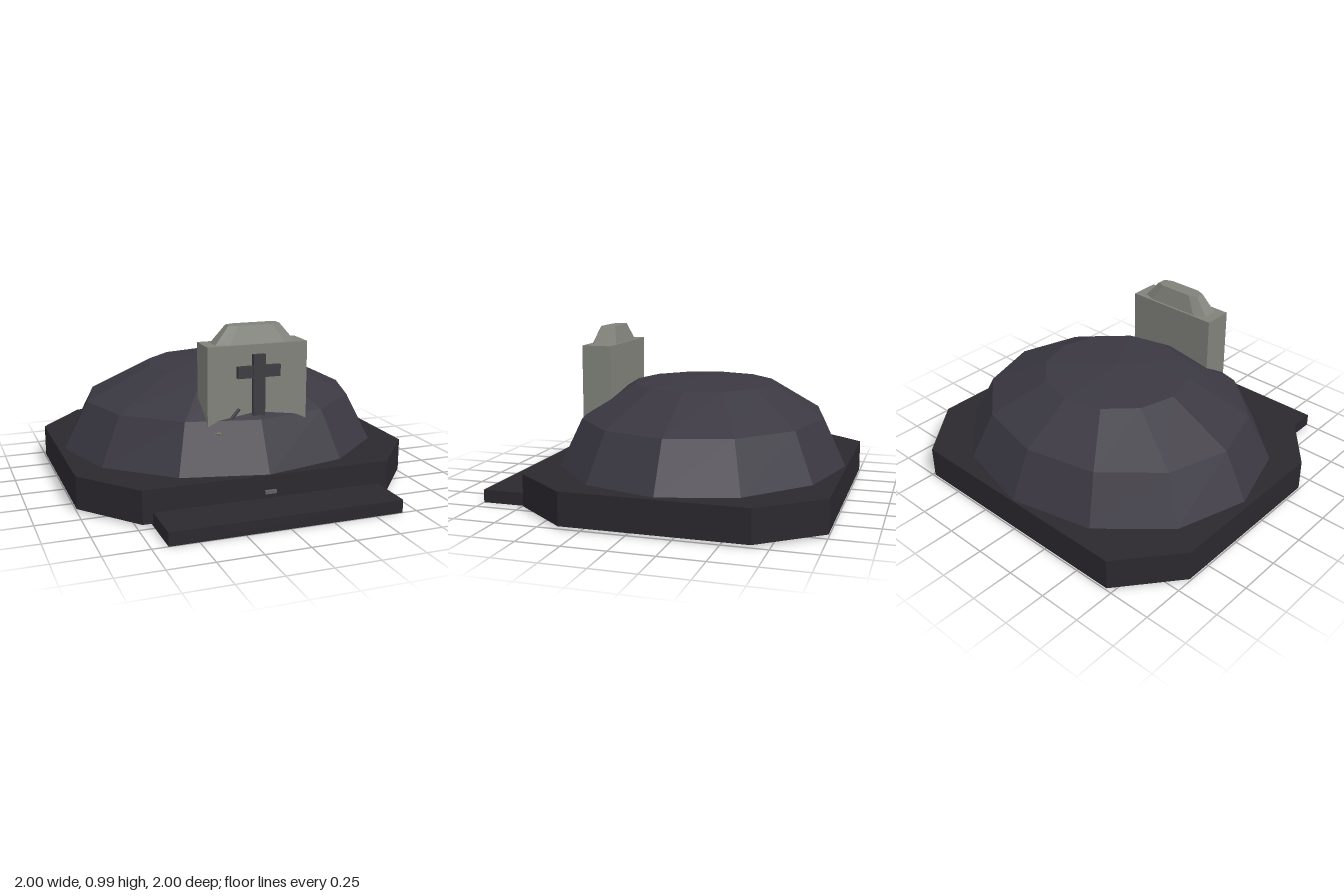
import * as THREE from 'three';

const mat = (color) => new THREE.MeshStandardMaterial({ color, flatShading: true });

// Stack of horizontal rings (arrays of [x, y, z]) skinned into one closed solid
function loft(rings) {
  const n = rings[0].length;
  const pos = rings.flat(2);
  const idx = [];
  for (let r = 0; r < rings.length - 1; r++) {
    for (let i = 0; i < n; i++) {
      const a = r * n + i, b = r * n + (i + 1) % n;
      idx.push(a, a + n, b, b, a + n, b + n);
    }
  }
  const top = (rings.length - 1) * n;
  for (let i = 1; i < n - 1; i++) {
    idx.push(0, i, i + 1);
    idx.push(top, top + i + 1, top + i);
  }
  const geo = new THREE.BufferGeometry();
  geo.setAttribute('position', new THREE.Float32BufferAttribute(pos, 3));
  geo.setIndex(idx);
  const flat = geo.toNonIndexed();
  flat.computeVertexNormals();
  return flat;
}

// Rectangle with cut corners, half sizes hx/hz, straight edges reaching cx/cz
const cutRect = (hx, hz, cx, cz, y, z0) => [
  [cx, -hz], [hx, -cz], [hx, cz], [cx, hz], [-cx, hz], [-hx, cz], [-hx, -cz], [-cx, -hz],
].map(([x, z]) => [x, y, z + z0]);

// Twelve-sided oval ring
const oval = (rx, rz, y, z0) => Array.from({ length: 12 }, (_, i) => {
  const a = (i / 12) * Math.PI * 2;
  return [rx * Math.cos(a), y, z0 + rz * Math.sin(a)];
});

export function createModel() {
  const group = new THREE.Group();
  const earth = mat(0x3b3842), soil = mat(0x2b282e), stone = mat(0x80827a);
  const iron = mat(0x3c3c42), plaqueGrey = mat(0x606064), ochre = mat(0x55502f);

  const add = (name, geo, material, x = 0, y = 0, z = 0, parent = group) => {
    const m = new THREE.Mesh(geo, material);
    m.name = name;
    m.position.set(x, y, z);
    parent.add(m);
    return m;
  };
  const box = (name, w, h, d, material, x, y, z, parent) =>
    add(name, new THREE.BoxGeometry(w, h, d), material, x, y, z, parent);

  // Ground plinth with cut corners, and the step in front
  add('plinth', loft([0.015, 0.203].map((y) => cutRect(1, 0.86, 0.72, 0.518, y, -0.14))), soil);
  box('frontStep', 1.325, 0.075, 0.55, soil, 0, 0.0375, 0.725);
  box('plaque', 0.066, 0.02, 0.02, plaqueGrey, 0, 0.11, 0.724);

  // Faceted burial mound
  add('mound', loft([
    oval(0.965, 0.853, 0.2, -0.14),
    oval(0.82, 0.72, 0.478, -0.14),
    oval(0.435, 0.42, 0.667, -0.14),
    oval(0.001, 0.001, 0.707, -0.14),
  ]), earth);

  // Headstone with bevelled cap
  const headstone = new THREE.Group();
  headstone.name = 'headstone';
  group.add(headstone);
  box('slab', 0.585, 0.59, 0.175, stone, 0, 0.595, 0.438, headstone);
  add('cap', loft([
    cutRect(0.237, 0.076, 0.165, 0.046, 0.885, 0.438),
    cutRect(0.15, 0.045, 0.1, 0.025, 0.99, 0.438),
  ]), stone, 0, 0, 0, headstone);

  // Raised cross
  box('crossUpright', 0.07, 0.385, 0.03, iron, 0, 0.645, 0.535, headstone);
  box('crossArm', 0.25, 0.066, 0.028, iron, 0, 0.742, 0.535, headstone);

  // Half-buried twig and its ochre tip
  const twig = add('twig', new THREE.CylinderGeometry(0.01, 0.01, 0.1, 5), iron, -0.145, 0.5, 0.532);
  twig.rotation.z = -0.72;
  const tip = add('twigTip', new THREE.ConeGeometry(0.018, 0.04, 5), ochre, -0.25, 0.413, 0.545);
  tip.rotation.z = 1.4;

  return group;
}
